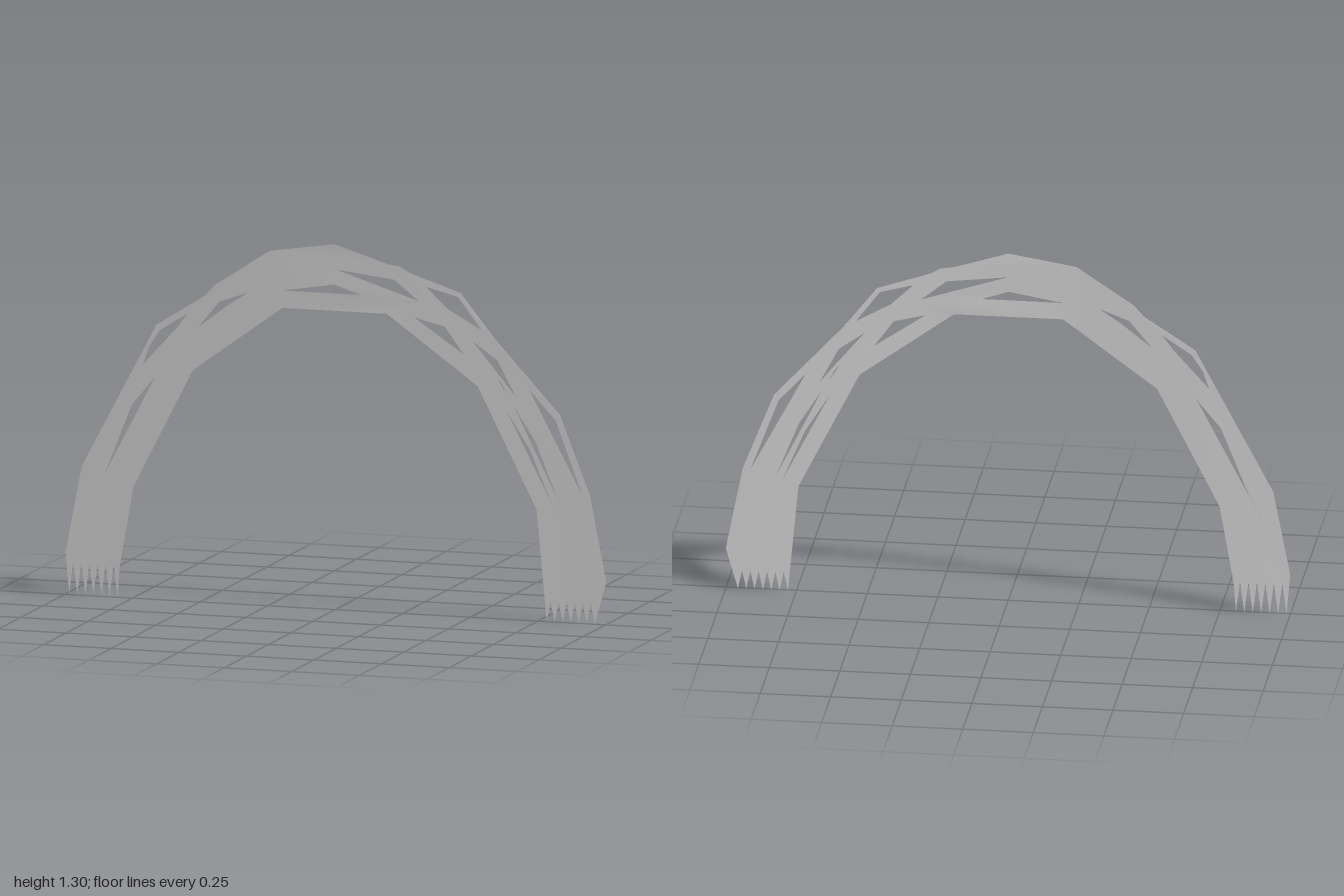
import * as THREE from 'three';

const points = (list) => list.map(([x, y]) => new THREE.Vector2(x, y));

// Saw-tooth end of a leg: tips at y = tipY, valleys at y = valleyY
function teeth(x0, x1, count, tipY, valleyY) {
  const out = [];
  for (let i = 0; i < count; i++) {
    const step = (x1 - x0) / (count - 1);
    out.push([x0 + i * step, tipY]);
    if (i < count - 1) out.push([x0 + (i + 0.5) * step, valleyY]);
  }
  return out;
}

// One flat-cut section of the sheet, bowed gently: crown forward, legs back
function sheet(name, outline, openings, material) {
  const shape = new THREE.Shape(points(outline));
  openings.forEach((o) => shape.holes.push(new THREE.Path(points(o))));
  const geometry = new THREE.ShapeGeometry(shape);
  const pos = geometry.attributes.position;
  for (let i = 0; i < pos.count; i++) {
    pos.setZ(i, 0.009 * Math.cos(Math.PI * pos.getX(i)));
  }
  geometry.computeVertexNormals();
  const mesh = new THREE.Mesh(geometry, material);
  mesh.name = name;
  return mesh;
}

export function createModel() {
  const group = new THREE.Group();
  group.name = 'archBand';
  const grey = new THREE.MeshStandardMaterial({ color: 0xe8e8e8, side: THREE.DoubleSide });
  grey.name = 'lightGrey';

  // Left leg and shoulder, up to a seam at x = -0.24
  group.add(sheet('leftStrands', [
    [-1, 0.155], [-0.94, 0.465], [-0.663, 0.984], [-0.48, 1.1], [-0.444, 1.14],
    [-0.24, 1.273], [-0.24, 1.038], [-0.527, 0.83], [-0.749, 0.4], [-0.8, 0.11],
    ...teeth(-0.807, -0.987, 7, 0.005, 0.12),
  ], [
    [[-0.713, 0.84], [-0.69, 0.905], [-0.65, 0.965], [-0.545, 1.033], [-0.585, 0.98]],
    [[-0.508, 0.984], [-0.428, 1.08], [-0.32, 1.12], [-0.4, 1.067]],
    [[-0.856, 0.44], [-0.754, 0.695], [-0.668, 0.797]],
  ], grey));

  // Crown, with its two long slots
  group.add(sheet('crownStrands', [
    [-0.24, 1.273], [0, 1.31], [0.193, 1.25], [0.24, 1.243], [0.278, 1.222],
    [0.325, 1.206], [0.32, 1.12], [0.25, 1.031],
    [0.193, 1.072], [-0.193, 1.072], [-0.24, 1.038],
  ], [
    [[-0.193, 1.134], [0, 1.166], [0.096, 1.134]],
    [[0.005, 1.22], [0.22, 1.195], [0.31, 1.123]],
  ], grey));

  // Right shoulder and leg, with the crossing strands
  group.add(sheet('rightStrands', [
    [0.325, 1.206], [0.465, 1.16], [0.583, 1.01], [0.829, 0.743], [0.94, 0.46], [1, 0.155],
    ...teeth(0.957, 0.78, 7, 0.005, 0.075),
    [0.743, 0.4], [0.527, 0.83], [0.25, 1.031], [0.32, 1.12],
  ], [
    [[0.337, 1.176], [0.455, 1.145], [0.54, 1.032], [0.417, 1.1]],
    [[0.294, 1.064], [0.406, 1.037], [0.476, 0.941]],
    [[0.508, 0.99], [0.6, 0.925], [0.668, 0.797], [0.625, 0.85]],
    [[0.598, 0.862], [0.614, 0.846], [0.638, 0.8]],
    [[0.717, 0.826], [0.813, 0.722], [0.914, 0.454]],
    [[0.66, 0.765], [0.74, 0.64], [0.824, 0.433]],
    [[0.63, 0.753], [0.72, 0.61], [0.802, 0.417]],
  ], grey));

  return group;
}
